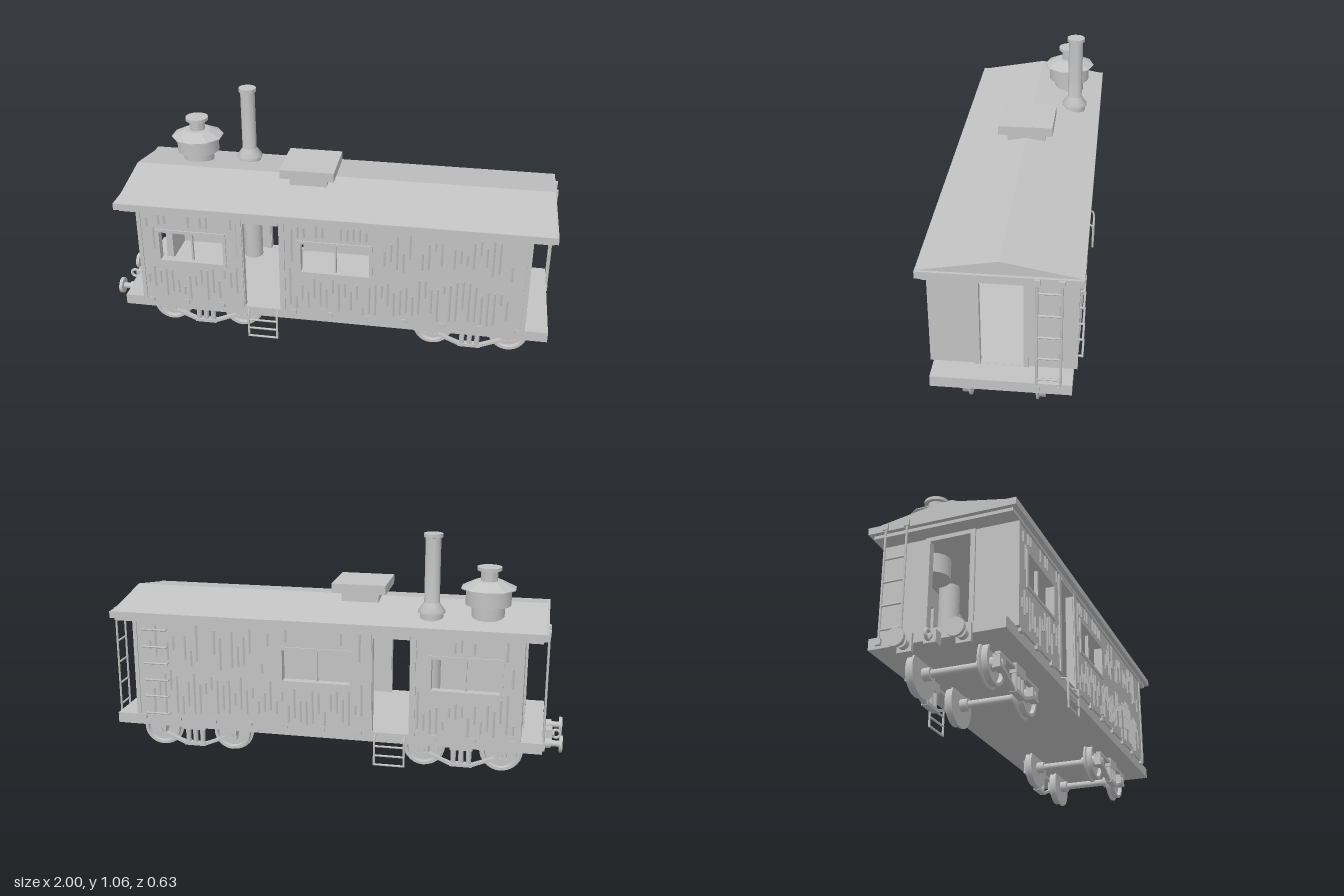
import * as THREE from 'three';
import { toCreasedNormals } from 'three/addons/utils/BufferGeometryUtils.js';

const paint = new THREE.MeshStandardMaterial({ color: 0xc2c2c2 });
paint.name = 'plain grey';

function add(parent, name, geo, x = 0, y = 0, z = 0) {
  const m = new THREE.Mesh(geo, paint);
  m.name = name;
  m.position.set(x, y, z);
  parent.add(m);
  return m;
}
// Box given by its lower and upper limits on each axis
function block(parent, name, x0, x1, y0, y1, z0, z1) {
  return add(parent, name, new THREE.BoxGeometry(x1 - x0, y1 - y0, z1 - z0),
    (x0 + x1) / 2, (y0 + y1) / 2, (z0 + z1) / 2);
}
// Round bar between two points
function rod(parent, name, a, b, r, sides = 8) {
  const p = new THREE.Vector3(...a), q = new THREE.Vector3(...b);
  const m = add(parent, name, new THREE.CylinderGeometry(r, r, p.distanceTo(q), sides));
  m.position.copy(p).add(q).multiplyScalar(0.5);
  m.quaternion.setFromUnitVectors(new THREE.Vector3(0, 1, 0), q.sub(p).normalize());
  return m;
}
function turned(points, sides, crease = 0.6) {
  return toCreasedNormals(new THREE.LatheGeometry(points.map(p => new THREE.Vector2(...p)), sides), crease);
}
function rect(path, x0, x1, y0, y1) {
  path.moveTo(x0, y0); path.lineTo(x1, y0); path.lineTo(x1, y1); path.lineTo(x0, y1); path.closePath();
  return path;
}
function pierced(outer, holes, depth) {
  const s = rect(new THREE.Shape(), ...outer);
  holes.forEach(h => s.holes.push(rect(new THREE.Path(), ...h)));
  return new THREE.ExtrudeGeometry(s, { depth, bevelEnabled: false });
}
function group(parent, name) {
  const g = new THREE.Group();
  g.name = name;
  parent.add(g);
  return g;
}

const X0 = -0.823, X1 = 0.891, FLOOR = 0.194, EAVE = 0.65;
const DOOR = [-0.347, -0.188, FLOOR, 0.62];
const WINDOWS = [[-0.726, -0.439, 0.404, 0.543], [-0.09, 0.209, 0.404, 0.543]];
const seamGeo = toCreasedNormals(new THREE.CylinderGeometry(0.0055, 0.0055, 1, 4), 0.5);

// Long wall with door, windows and weathered planks; built facing +z
function sideWall(parent, name, seed) {
  const g = group(parent, name);
  add(g, 'wallPanel', pierced([X0, X1, FLOOR, EAVE], [[DOOR[0], DOOR[1], FLOOR + 0.001, DOOR[3]], ...WINDOWS], 0.028), 0, 0, 0.258);
  for (const [a, b, c, d] of WINDOWS) {
    add(g, 'windowFrame', pierced([a - 0.014, b + 0.014, c - 0.014, d + 0.014], [[a, b, c, d]], 0.038), 0, 0, 0.254);
    block(g, 'mullion', (a + b) / 2 - 0.004, (a + b) / 2 + 0.004, c, d, 0.26, 0.275);
  }
  for (const x of [DOOR[0] - 0.026, DOOR[1] + 0.004]) block(g, 'doorJamb', x, x + 0.022, FLOOR, 0.64, 0.252, 0.292);
  block(g, 'doorHead', DOOR[0], DOOR[1], DOOR[3], 0.64, 0.252, 0.292);
  for (const x of [X0, X1 - 0.018]) block(g, 'cornerTrim', x, x + 0.018, FLOOR, EAVE, 0.262, 0.291);
  const rnd = () => (seed = (seed * 16807) % 2147483647) / 2147483647;
  // Random seam between two heights
  const seam = (x, lo, hi, maxLength) => {
    const length = 0.04 + rnd() * (maxLength - 0.04), y = lo + rnd() * (hi - lo - length);
    add(g, 'plankSeam', seamGeo, x, y + length / 2, 0.286).scale.y = length;
  };
  for (let x = X0 + 0.035; x < X1 - 0.08; x += 0.027) {
    if (x > DOOR[0] - 0.035 && x < DOOR[1] + 0.035) continue;
    if (WINDOWS.some(w => x > w[0] - 0.03 && x < w[1] + 0.03)) {
      seam(x, 0.205, 0.38, 0.16);
      if (rnd() < 0.4) seam(x + 0.009, 0.57, 0.635, 0.06);
    } else {
      seam(x, 0.205, 0.42, 0.2);
      if (rnd() < 0.8) seam(x + 0.009, 0.43, 0.635, 0.19);
    }
  }
  for (let i = 0; i < 11; i++) {
    const x = -0.8 + i * 0.165;
    if (x < DOOR[0] - 0.02 || x > DOOR[1]) block(g, 'sillBracket', x, x + 0.025, 0.18, 0.203, 0.27, 0.29);
  }
  return g;
}

// Hooked step iron below the side door; built on the +z side
function steps(parent, name) {
  const g = group(parent, name);
  for (const x of [-0.331, -0.201]) {
    const path = new THREE.CatmullRomCurve3([[0.275, 0.18], [0.298, 0.178], [0.306, 0.16], [0.307, 0.11], [0.307, 0.052]]
      .map(([z, y]) => new THREE.Vector3(x, y, z)));
    add(g, 'stepSide', new THREE.TubeGeometry(path, 16, 0.005, 8));
  }
  for (const y of [0.055, 0.097, 0.14]) rod(g, 'stepRung', [-0.334, y, 0.307], [-0.198, y, 0.307], 0.005);
  return g;
}

// Ladder standing against an end of the car
function endLadder(parent, x) {
  const g = group(parent, 'endLadder');
  for (const z of [-0.139, -0.231]) {
    rod(g, 'ladderRail', [x, 0.16, z], [x, 0.677, z], 0.005);
    for (const y of [0.172, 0.665]) block(g, 'ladderBracket', x - 0.007, x + 0.005, y - 0.013, y + 0.013, z - 0.011, z + 0.011);
  }
  for (const y of [0.22, 0.32, 0.42, 0.52, 0.62]) rod(g, 'ladderRung', [x, y, -0.139], [x, y, -0.231], 0.0045);
}

// Four-wheeled truck
const AXLE = 0.096;
const wheelGeo = turned([[0, 0], [0.095, 0], [0.095, 0.008], [0.084, 0.012], [0.084, 0.036], [0.071, 0.036],
  [0.068, 0.02], [0.028, 0.02], [0.025, 0.036], [0, 0.036]], 28);
function truck(parent, x) {
  const g = group(parent, 'truck');
  for (const dx of [-0.17, 0.17]) {
    rod(g, 'axle', [dx, AXLE, -0.16], [dx, AXLE, 0.16], 0.016, 14);
    for (const s of [-1, 1]) {
      const w = add(g, 'wheel', wheelGeo, dx, AXLE, s * 0.13);
      w.rotation.x = s * Math.PI / 2;
      rod(g, 'axleCollar', [dx, AXLE, s * 0.096], [dx, AXLE, s * 0.132], 0.026, 14);
      block(g, 'journalBox', dx - 0.028, dx + 0.028, 0.07, 0.125, s * 0.178 - 0.015, s * 0.178 + 0.015);
      const lid = add(g, 'journalLid', new THREE.CylinderGeometry(0.018, 0.018, 0.006, 3), dx, AXLE, s * 0.195);
      lid.rotation.x = s * Math.PI / 2;
    }
  }
  for (const s of [-1, 1]) {
    const bar = new THREE.Shape();
    [[-0.2, 0.07], [-0.145, 0.07], [-0.05, 0.03], [0.05, 0.03], [0.145, 0.07], [0.2, 0.07],
      [0.2, 0.08], [0.14, 0.08], [0.045, 0.042], [-0.045, 0.042], [-0.14, 0.08], [-0.2, 0.08]]
      .forEach(([a, b], i) => i ? bar.lineTo(a, b) : bar.moveTo(a, b));
    add(g, 'lowerArchBar', new THREE.ExtrudeGeometry(bar, { depth: 0.022, bevelEnabled: false }), 0, 0, s * 0.184 - 0.011);
    block(g, 'upperArchBar', -0.2, 0.2, 0.12, 0.132, s * 0.184 - 0.011, s * 0.184 + 0.011);
    block(g, 'bolsterEnd', -0.05, 0.05, 0.105, 0.147, s * 0.185 - 0.014, s * 0.185 + 0.014);
    block(g, 'springPlate', -0.05, 0.05, 0.028, 0.043, s * 0.185 - 0.014, s * 0.185 + 0.014);
    for (const dx of [-0.034, 0, 0.034]) rod(g, 'spring', [dx, 0.04, s * 0.185], [dx, 0.106, s * 0.185], 0.012, 10);
  }
  g.position.x = x;
}

export function createModel() {
  const car = new THREE.Group();
  car.name = 'railCar';

  block(car, 'floor', -0.913, 0.991, 0.147, FLOOR, -0.276, 0.278);
  sideWall(car, 'frontWall', 11);
  sideWall(car, 'backWall', 77).scale.z = -1;
  steps(car, 'frontSteps');
  steps(car, 'backSteps').scale.z = -1;

  // End walls with open doorways
  for (const [x, s] of [[X0, -1], [X1, 1]]) {
    const wall = add(car, 'endWall', pierced([-0.259, 0.259, FLOOR, EAVE], [[-0.08, 0.092, FLOOR + 0.001, 0.618]], 0.025),
      s > 0 ? x - 0.025 : x, 0, 0);
    // Mirrored so that the doorway keeps its offset towards +z
    wall.geometry.rotateY(Math.PI / 2).scale(1, 1, -1);
    const index = wall.geometry.attributes.position.count;
    wall.geometry.setIndex(Array.from({ length: index }, (_, i) => i - i % 3 + [0, 2, 1][i % 3]));
    for (const z of [-0.1, 0.092]) block(car, 'endDoorJamb', x - 0.008, x + 0.008, FLOOR, 0.636, z, z + 0.02);
    block(car, 'endDoorHead', x - 0.008, x + 0.008, 0.618, 0.636, -0.08, 0.092);
  }

  // Roof
  block(car, 'roofPlate', -0.896, 0.973, 0.636, EAVE, -0.294, 0.294);
  block(car, 'eaves', -0.915, 0.988, EAVE, 0.68, -0.311, 0.314);
  const gable = new THREE.Shape();
  gable.moveTo(-0.311, 0.68); gable.lineTo(0.311, 0.68); gable.lineTo(0, 0.737); gable.closePath();
  const roof = add(car, 'gableRoof', new THREE.ExtrudeGeometry(gable, { depth: 1.88, bevelEnabled: false }), -0.904);
  roof.rotation.y = Math.PI / 2;

  // Roof hatch
  block(car, 'hatchBase', -0.177, -0.01, 0.7, 0.766, -0.082, 0.086);
  block(car, 'hatchLid', -0.213, 0.027, 0.766, 0.807, -0.118, 0.123);

  // Ventilator with a ten-sided rain hood on round drums
  const vent = group(car, 'ventilator');
  vent.position.set(-0.657, 0, -0.149);
  add(vent, 'ventDrum', turned([[0, 0.55], [0.07, 0.55], [0.07, 0.757], [0.096, 0.757], [0.096, 0.83], [0, 0.83]], 32));
  add(vent, 'ventHood', turned([[0, 0.826], [0.119, 0.826], [0.119, 0.83], [0.06, 0.86], [0, 0.86]], 10, 0.2));
  add(vent, 'ventNeck', turned([[0.036, 0.85], [0.036, 0.904], [0.052, 0.904], [0.052, 0.918], [0, 0.918]], 32));

  // Stove pipe, wider inside where it runs down to the floor
  add(car, 'stovePipe', turned([[0, FLOOR], [0.045, FLOOR], [0.045, 0.68], [0.05, 0.68], [0.05, 0.72], [0.058, 0.72],
    [0.058, 0.728], [0.033, 0.765], [0.033, 1.04], [0.04, 1.042], [0.04, 1.058], [0, 1.058]], 24), -0.423, 0, -0.19);

  endLadder(car, -0.917);
  endLadder(car, 0.994);

  // Grab irons on the back wall
  for (const y of [0.216, 0.297, 0.373, 0.45, 0.526, 0.605]) {
    rod(car, 'grabIron', [0.73, y, -0.306], [0.84, y, -0.306], 0.0045);
    for (const x of [0.735, 0.835]) rod(car, 'grabIronMount', [x, y, -0.275], [x, y, -0.306], 0.0045);
  }

  // Buffers and coupling hook
  for (const z of [-0.118, 0.118]) {
    block(car, 'bufferPlate', -0.925, -0.91, 0.11, 0.185, z - 0.03, z + 0.03);
    rod(car, 'bufferSleeve', [-0.91, 0.14, z], [-0.95, 0.14, z], 0.022, 14);
    rod(car, 'bufferShaft', [-0.95, 0.14, z], [-0.985, 0.14, z], 0.014, 14);
    rod(car, 'bufferHead', [-0.984, 0.14, z], [-0.999, 0.14, z], 0.037, 18);
  }
  rod(car, 'couplingBar', [-0.9, 0.14, 0], [-0.965, 0.14, 0], 0.013, 10);
  block(car, 'couplingBlock', -0.955, -0.91, 0.115, 0.165, -0.025, 0.025);
  add(car, 'couplingHook', new THREE.TorusGeometry(0.018, 0.007, 8, 16), -0.972, 0.14, 0);

  truck(car, -0.567);
  truck(car, 0.657);
  return car;
}
